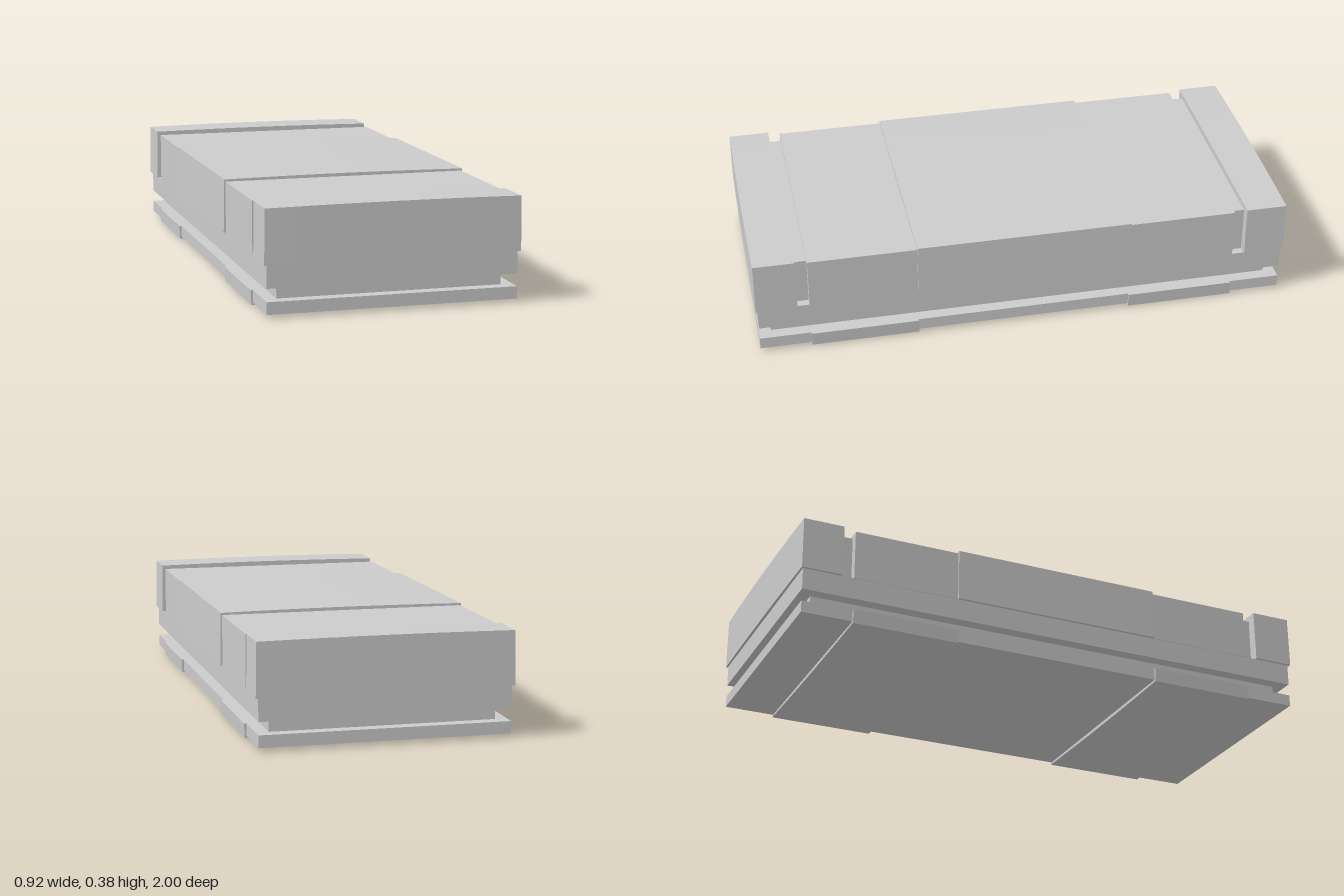
import * as THREE from 'three';

const material = new THREE.MeshStandardMaterial({ color: 0xcccccc, flatShading: true });

// Box given by half width, y range and z range. Optional rule moves each vertex.
function block(name, halfX, y0, y1, z0, z1, rule) {
  const n = rule ? 8 : 1;
  const geometry = new THREE.BoxGeometry(halfX * 2, y1 - y0, z1 - z0, n, 1, 1);
  geometry.translate(0, (y0 + y1) / 2, (z0 + z1) / 2);
  if (rule) {
    const p = geometry.attributes.position;
    const v = new THREE.Vector3();
    for (let i = 0; i < p.count; i++) {
      v.fromBufferAttribute(p, i);
      rule(v, 1 - (v.x / halfX) ** 2);
      p.setXYZ(i, v.x, v.y, v.z);
    }
    geometry.computeVertexNormals();
  }
  const mesh = new THREE.Mesh(geometry, material);
  mesh.name = name;
  return mesh;
}

// Slightly crowned top with sides leaning in
function crownTop(v, bow) {
  if (v.y > 0.3) {
    v.x *= 0.994;
    v.y += 0.004 * bow;
  }
}

// Slightly bowed underside with sides leaning in
function crownBottom(v, bow) {
  if (v.y < 0.03) {
    v.x *= 0.994;
    v.y -= 0.005 * bow;
  }
}

// End blocks also bow outward along their outer face
function crownEnd(v, bow) {
  crownTop(v, bow);
  if (Math.abs(v.z) > 0.9) v.z += Math.sign(v.z) * 0.003 * bow;
}

export function createModel() {
  const model = new THREE.Group();

  // Stacked core: base plate, recessed waist, ledge and raised body
  model.add(
    block('basePlate', 0.45, 0.013, 0.057, -0.99, 0.99),
    block('recessedWaist', 0.405, 0.057, 0.103, -0.945, 0.945),
    block('ledge', 0.45, 0.103, 0.184, -0.99, 0.99),
    block('raisedBody', 0.452, 0.184, 0.371, -0.8, 0.8),
    block('centerBand', 0.46, 0.184, 0.379, -0.4, 0.4, crownTop)
  );

  // Mirrored front and back parts
  for (const [side, s] of [['front', 1], ['back', -1]]) {
    const span = (a, b) => (s > 0 ? [a, b] : [-b, -a]);
    model.add(
      block(side + 'Neck', 0.42, 0.184, 0.358, ...span(0.8, 0.845)),
      block(side + 'EndBlock', 0.46, 0.184, 0.379, ...span(0.845, 0.997), crownEnd),
      block(side + 'FootPad', 0.459, 0.005, 0.057, ...span(0.4, 0.8), crownBottom)
    );
  }
  return model;
}
